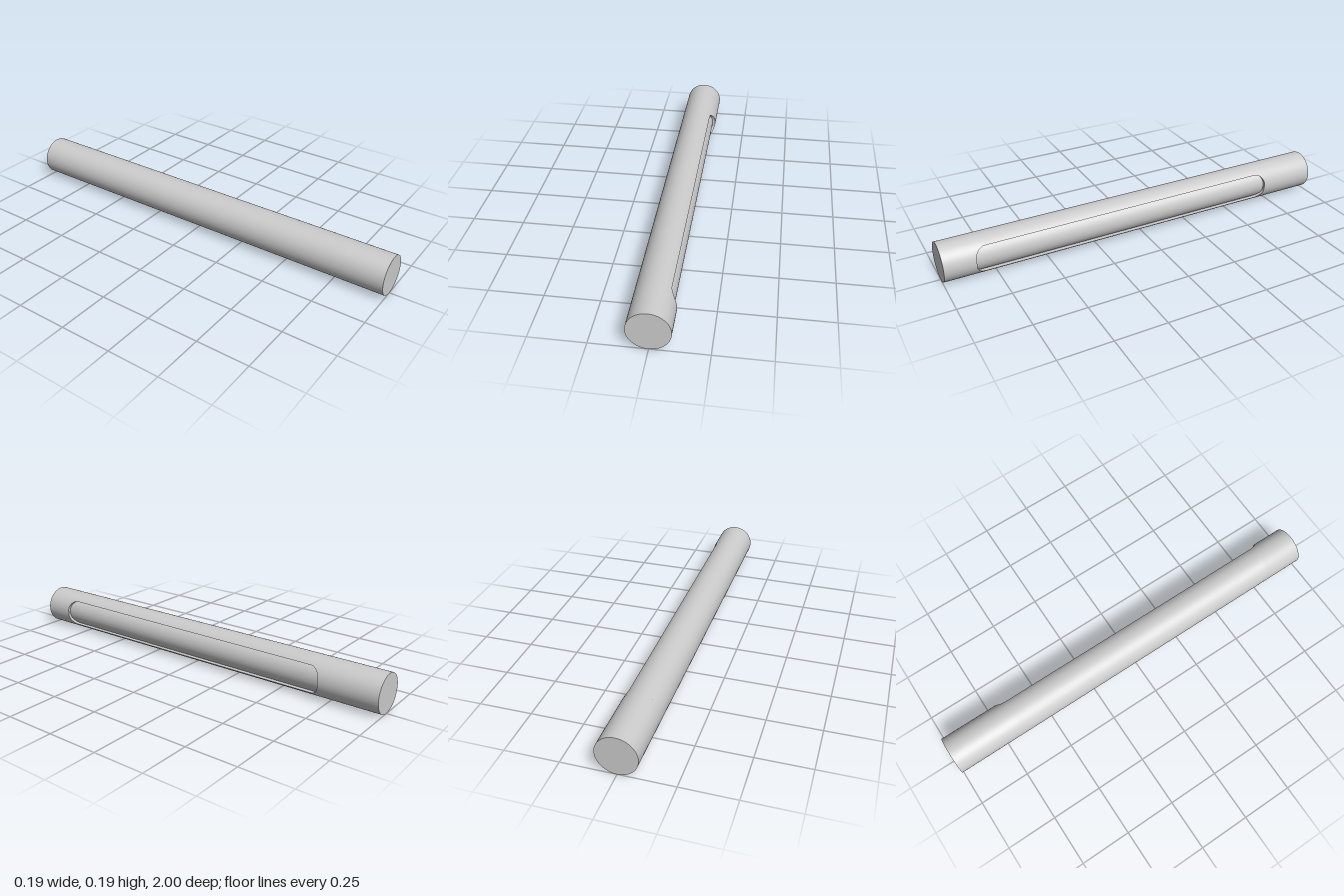
import * as THREE from 'three';

const R = 0.094, CORE_R = 0.08, SEG = 96;
const SLOT = { front: 0.85, back: -0.71, half: 0.066, corner: 0.05 };
const CAP_Z = -0.88;

// Half height of the rounded slot at a given z
function slotHalf(z) {
  const { front, back, half, corner } = SLOT;
  const d = Math.max(0, corner - Math.min(front - z, z - back));
  return half - corner + Math.sqrt(Math.max(0, corner * corner - d * d));
}

// z stations along the slot, dense in the rounded corners
function slotStations() {
  const n = 12, zs = [];
  const step = (i) => SLOT.corner * (1 - Math.cos((i / n) * Math.PI / 2));
  for (let i = 0; i <= n; i++) zs.push(SLOT.back + step(i));
  for (let i = n; i >= 0; i--) zs.push(SLOT.front - step(i));
  return zs;
}

function surface(positions, index, normals) {
  const g = new THREE.BufferGeometry();
  g.setAttribute('position', new THREE.Float32BufferAttribute(positions, 3));
  g.setIndex(index);
  if (normals) g.setAttribute('normal', new THREE.Float32BufferAttribute(normals, 3));
  else g.computeVertexNormals();
  return g;
}

// Tube wall along z; each row leaves an opening of the given half angle on +x
function openTube(rows) {
  const pos = [], nor = [], idx = [], w = SEG + 1;
  rows.forEach(([z, a], i) => {
    for (let j = 0; j <= SEG; j++) {
      const t = a + (j / SEG) * (2 * Math.PI - 2 * a);
      pos.push(R * Math.cos(t), R * Math.sin(t), z);
      nor.push(Math.cos(t), Math.sin(t), 0);
      if (i && j) {
        const d = i * w + j, c = d - 1, b = d - w, e = b - 1;
        idx.push(e, b, d, e, d, c);
      }
    }
  });
  return surface(pos, idx, nor);
}

// Straight-sided rim joining the slot edge to the recessed core
function slotWall(zs) {
  const loop = zs.map((z) => [z, slotHalf(z)]);
  loop.push(...zs.slice().reverse().map((z) => [z, -slotHalf(z)]));
  const pos = [], idx = [];
  loop.forEach(([z, y], i) => {
    const [z2, y2] = loop[(i + 1) % loop.length];
    const at = (r, yy, zz) => pos.push(Math.sqrt(r * r - yy * yy), yy, zz);
    at(R, y, z); at(CORE_R, y, z); at(R, y2, z2); at(CORE_R, y2, z2);
    const k = i * 4;
    idx.push(k, k + 1, k + 2, k + 1, k + 3, k + 2);
  });
  return surface(pos, idx);
}

export function createModel() {
  const model = new THREE.Group();
  const grey = new THREE.MeshStandardMaterial({ color: 0xcccccc });
  const thin = new THREE.MeshStandardMaterial({ color: 0xcccccc, side: THREE.DoubleSide });
  const add = (name, geometry, material = grey) => {
    const mesh = new THREE.Mesh(geometry, material);
    mesh.name = name;
    mesh.position.y = R;
    model.add(mesh);
  };
  const rod = (r, z0, z1, open = false) =>
    new THREE.CylinderGeometry(r, r, z1 - z0, SEG, 1, open)
      .rotateX(Math.PI / 2).translate(0, 0, (z0 + z1) / 2);

  // Outer body with the long side window
  const zs = slotStations();
  add('body', openTube([
    [CAP_Z, 0], [SLOT.back, 0],
    ...zs.map((z) => [z, Math.asin(slotHalf(z) / R)]),
    [SLOT.front, 0], [1, 0],
  ]), thin);
  add('frontFace', new THREE.CircleGeometry(R, SEG).translate(0, 0, 1));
  add('windowRim', slotWall(zs), thin);

  // Recessed core seen through the window
  add('core', rod(CORE_R, SLOT.back, SLOT.front, true));

  // Separate cap closing the back end
  add('endCap', rod(R, -1, CAP_Z));
  return model;
}
